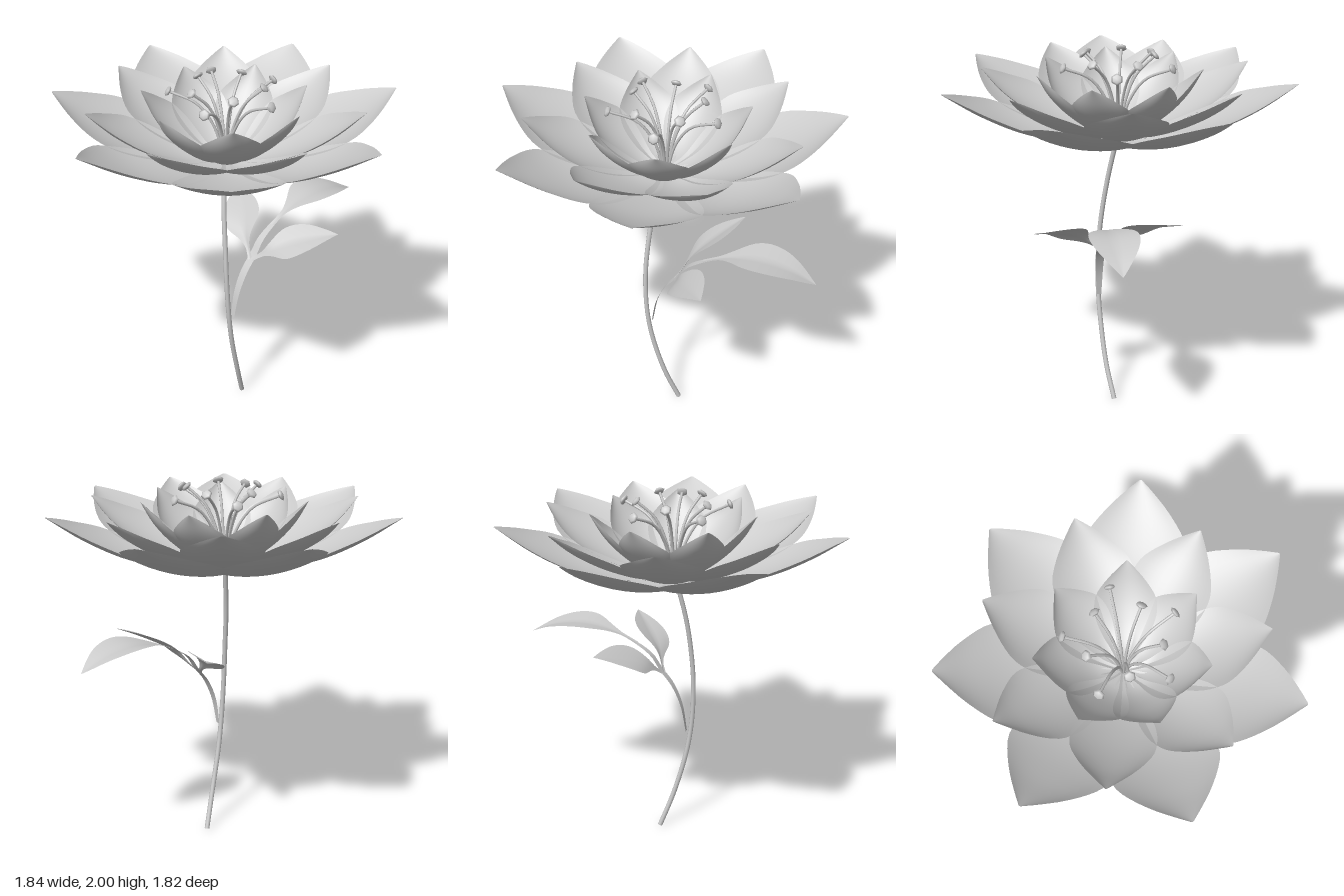
import * as THREE from 'three';

const grey = new THREE.MeshStandardMaterial({ color: 0xcccccc, side: THREE.DoubleSide });
const V = (x, y, z) => new THREE.Vector3(x, y, z);
const curve = (pts) => new THREE.CatmullRomCurve3(pts.map((p) => V(...p)));
const rad = THREE.MathUtils.degToRad;

function mesh(name, geometry) {
  const m = new THREE.Mesh(geometry, grey);
  m.name = name;
  return m;
}

// Smooth sheet: point(u, v) with u from 0 to 1 along it and v from -1 to 1 across it
function sheet(point, nu, nv) {
  const pos = [], index = [];
  for (let i = 0; i <= nu; i++) {
    for (let j = 0; j <= nv; j++) pos.push(...point(i / nu, (2 * j) / nv - 1).toArray());
  }
  for (let i = 0; i < nu; i++) {
    for (let j = 0; j < nv; j++) {
      const a = i * (nv + 1) + j, b = a + nv + 1;
      index.push(a, a + 1, b, b, a + 1, b + 1);
    }
  }
  const g = new THREE.BufferGeometry();
  g.setAttribute('position', new THREE.Float32BufferAttribute(pos, 3));
  g.setIndex(index);
  g.computeVertexNormals();
  return g;
}

// Half width as a fraction, interpolated smoothly from [u, w] pairs
function widthProfile(pairs) {
  const c = new THREE.SplineCurve(pairs.map(([u, w]) => new THREE.Vector2(u, w)));
  const samples = c.getPoints(120);
  return (u) => {
    const k = Math.max(1, samples.findIndex((p) => p.x >= u - 1e-6));
    const a = samples[k - 1], b = samples[k];
    return Math.max(0, THREE.MathUtils.mapLinear(u, a.x, b.x, a.y, b.y));
  };
}

const petalWidth = widthProfile([[0, 0.1], [0.15, 0.4], [0.3, 0.72], [0.45, 0.94], [0.58, 1],
  [0.7, 0.92], [0.85, 0.56], [0.96, 0.18], [1, 0.02]]);
const leafWidth = widthProfile([[0, 0.12], [0.15, 0.14], [0.27, 0.4], [0.42, 0.88], [0.56, 1],
  [0.72, 0.82], [0.88, 0.4], [1, 0.01]]);

// Petal along +x; its midline is a list of [radius, height], its edges curl inward
function petalGeometry(midline, halfWidth, cup) {
  const c = curve(midline.map(([r, y]) => [r, y, 0]));
  return sheet((u, v) => {
    const p = c.getPointAt(u), t = c.getTangentAt(u), w = petalWidth(u);
    p.addScaledVector(V(-t.y, t.x, 0), cup * w * v * v);
    p.z = v * w * halfWidth;
    return p;
  }, 24, 12);
}

function blossom() {
  const g = new THREE.Group();
  g.name = 'blossom';
  const rings = [
    { name: 'outerPetal', start: -10, width: 0.28, cup: 0.055,
      line: [[0.01, 1.55], [0.2, 1.555], [0.51, 1.625], [0.75, 1.735], [0.945, 1.86]] },
    { name: 'middlePetal', start: 16.5, width: 0.215, cup: 0.055,
      line: [[0.01, 1.56], [0.2, 1.58], [0.43, 1.67], [0.61, 1.78], [0.74, 1.895]] },
    { name: 'innerPetal', start: 38.5, width: 0.16, cup: 0.05,
      line: [[0.01, 1.56], [0.14, 1.59], [0.28, 1.69], [0.38, 1.8], [0.45, 1.92]] },
  ];
  for (const ring of rings) {
    const geometry = petalGeometry(ring.line, ring.width, ring.cup);
    for (let i = 0; i < 7; i++) {
      const petal = mesh(ring.name, geometry);
      petal.rotation.y = -rad(ring.start + (i * 360) / 7);
      g.add(petal);
    }
  }

  // Two alternating rings of stamens: thin filaments with six-sided anthers
  const stamens = [
    { start: -8, line: [[0.01, 1.56, 0], [0.06, 1.74, 0], [0.15, 1.87, 0], [0.3, 1.94, 0]] },
    { start: 32, line: [[0.01, 1.56, 0], [0.04, 1.74, 0], [0.1, 1.88, 0], [0.2, 1.975, 0]] },
  ];
  for (const s of stamens) {
    const c = curve(s.line);
    const filament = new THREE.TubeGeometry(c, 14, 0.008, 5);
    const anther = new THREE.SphereGeometry(0.031, 6, 4);
    anther.scale(1, 0.42, 1);
    for (let i = 0; i < 5; i++) {
      const stamen = new THREE.Group();
      stamen.name = 'stamen';
      const tip = mesh('anther', anther);
      tip.position.copy(c.getPoint(1));
      tip.quaternion.setFromUnitVectors(V(0, 1, 0), c.getTangent(1));
      stamen.add(mesh('filament', filament), tip);
      stamen.rotation.y = -rad(s.start + i * 72);
      g.add(stamen);
    }
  }
  g.position.set(-0.012, 0, -0.03);
  return g;
}

// Compound leaf: a flat pattern of (x, distance) laid over an arching line
function leaf() {
  const g = new THREE.Group();
  g.name = 'leaf';
  const arch = curve([[0, 0.6, 0.01], [0, 0.76, -0.02], [0, 0.88, -0.075], [0, 0.96, -0.14],
    [0, 1.04, -0.195], [0, 1.115, -0.31], [0, 1.17, -0.45], [0, 1.193, -0.6],
    [0, 1.17, -0.76], [0, 1.11, -0.908]]);
  const length = arch.getLength();
  const lay = (x, s, lift) => {
    const k = THREE.MathUtils.clamp(s / length, 0, 1);
    const p = arch.getPointAt(k), t = arch.getTangentAt(k);
    p.addScaledVector(V(0, -t.z, t.y), lift);
    p.x = x;
    return p;
  };
  const blade = (name, x0, s0, x1, s1, halfWidth, bow) => {
    const len = Math.hypot(x1 - x0, s1 - s0);
    const px = (s1 - s0) / len, ps = -(x1 - x0) / len;
    g.add(mesh(name, sheet((u, v) => {
      const w = leafWidth(u);
      const off = v * w * halfWidth + bow * Math.sin(Math.PI * u);
      return lay(x0 + (x1 - x0) * u + px * off, s0 + (s1 - s0) * u + ps * off,
        0.018 * w * Math.abs(v));
    }, 24, 8)));
  };
  // Leaf stalk, widening towards the fork
  g.add(mesh('leafStalk', sheet((u, v) =>
    lay(0.088 + 0.012 * u + v * (0.012 + 0.012 * Math.sin(Math.PI * u)), u * 0.68, 0), 20, 2)));
  blade('endLeaflet', 0.1, 0.6, 0.1, length, 0.13, 0);
  blade('rightLeaflet', 0.09, 0.37, -0.3, 0.73, 0.105, 0.01);
  blade('leftLeaflet', 0.1, 0.37, 0.485, 0.73, 0.105, -0.01);
  return g;
}

export function createModel() {
  const model = new THREE.Group();
  model.name = 'flower';

  // Curved stem with closed ends
  const line = curve([[0.025, 0.005, -0.13], [0.06, 0.2, -0.06], [0.082, 0.45, 0.008],
    [0.09, 0.65, 0.04], [0.085, 0.87, 0.052], [0.07, 1.05, 0.047], [0.035, 1.29, 0.025],
    [-0.013, 1.555, -0.025]]);
  model.add(mesh('stem', new THREE.TubeGeometry(line, 40, 0.0135, 8)));
  for (const [k, sign] of [[0, -1], [1, 1]]) {
    const cap = mesh('stemEnd', new THREE.CircleGeometry(0.0135, 8));
    cap.position.copy(line.getPoint(k));
    cap.quaternion.setFromUnitVectors(V(0, 0, 1), line.getTangent(k).multiplyScalar(sign));
    model.add(cap);
  }

  model.add(leaf(), blossom());
  return model;
}
